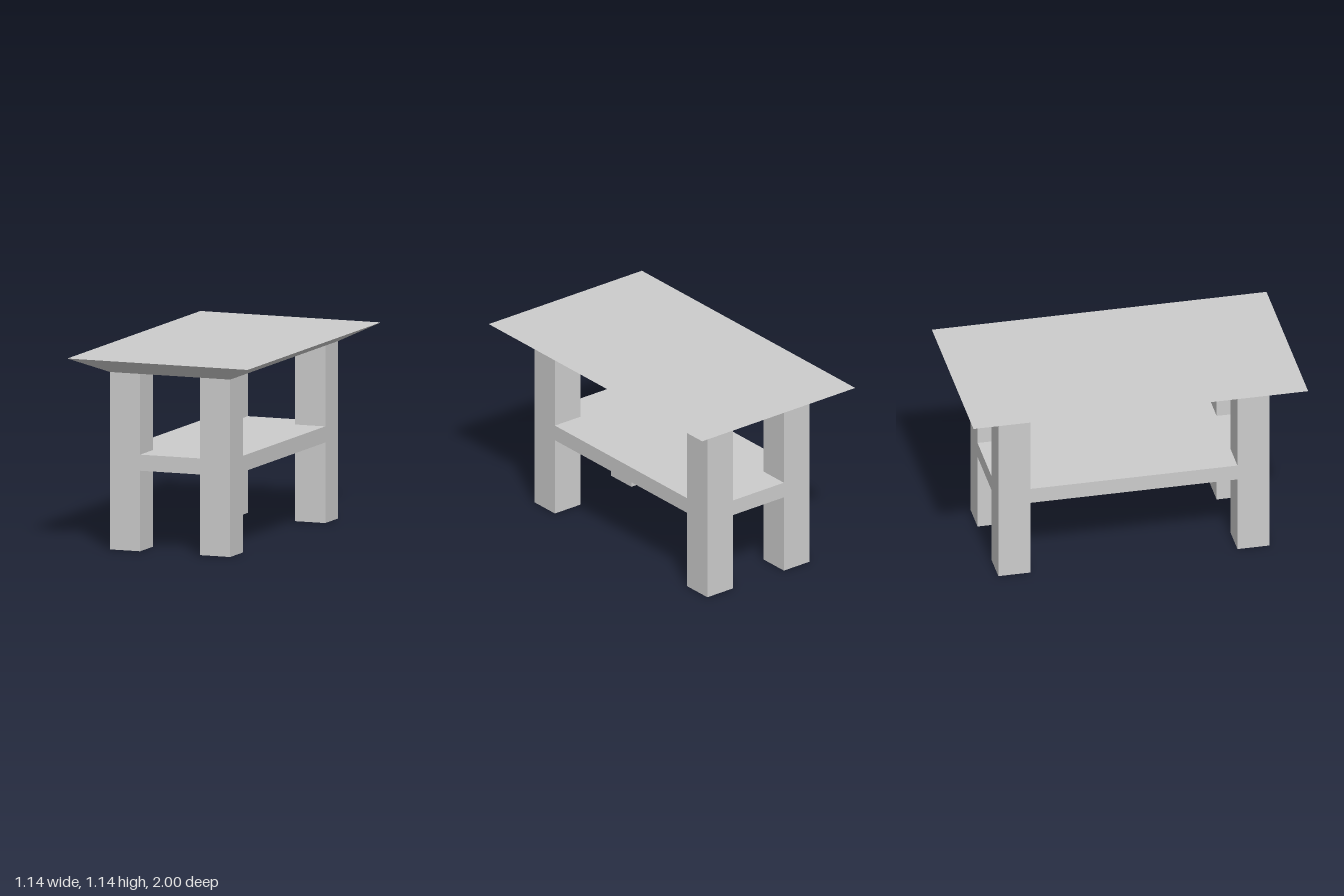
import * as THREE from 'three';

export function createModel() {
  const group = new THREE.Group();
  const grey = new THREE.MeshStandardMaterial({ color: 0xcccccc });
  grey.name = 'plain grey';

  const outX = 0.381, inX = 0.19, outZ = 0.81, inZ = 0.619;
  const legHeight = 1.048, topHeight = 1.143;

  function add(name, geometry, x, y, z) {
    const mesh = new THREE.Mesh(geometry, grey);
    mesh.name = name;
    mesh.position.set(x, y, z);
    group.add(mesh);
  }

  // Four square legs
  const leg = new THREE.BoxGeometry(outX - inX, legHeight, outZ - inZ);
  for (const sx of [-1, 1]) for (const sz of [-1, 1]) {
    add('leg', leg, sx * (outX + inX) / 2, legHeight / 2, sz * (outZ + inZ) / 2);
  }

  // Shelf, notched around the legs and flush with their outer faces
  const outline = new THREE.Shape([
    [inX, -outZ], [inX, -inZ], [outX, -inZ], [outX, inZ], [inX, inZ], [inX, outZ],
    [-inX, outZ], [-inX, inZ], [-outX, inZ], [-outX, -inZ], [-inX, -inZ], [-inX, -outZ],
  ].map(([x, z]) => new THREE.Vector2(x, z)));
  const shelf = new THREE.ExtrudeGeometry(outline, { depth: 0.095, bevelEnabled: false });
  shelf.rotateX(-Math.PI / 2);
  add('shelf', shelf, 0, 0.476, 0);

  // Table top, its sides sloping in to the leg frame
  const top = new THREE.BoxGeometry(1.143, topHeight - legHeight, 2);
  const p = top.attributes.position;
  for (let i = 0; i < p.count; i++) {
    if (p.getY(i) < 0) {
      p.setX(i, Math.sign(p.getX(i)) * outX);
      p.setZ(i, Math.sign(p.getZ(i)) * outZ);
    }
  }
  top.computeVertexNormals();
  add('tableTop', top, 0, (topHeight + legHeight) / 2, 0);

  return group;
}
